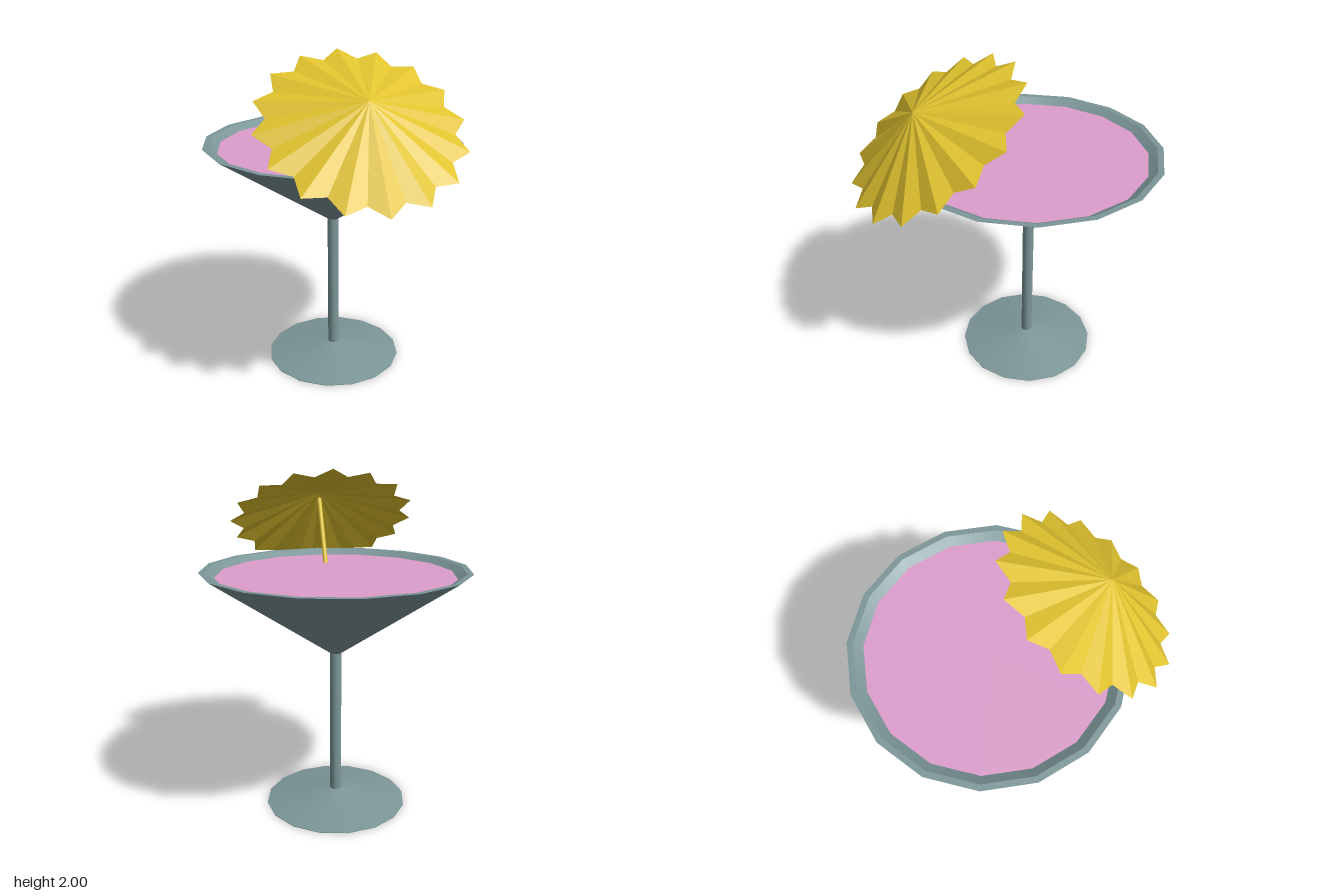
import * as THREE from 'three';
import { toCreasedNormals } from 'three/addons/utils/BufferGeometryUtils.js';

const SIDES = 16;

function part(name, geometry, material) {
  const mesh = new THREE.Mesh(geometry, material);
  mesh.name = name;
  return mesh;
}

// Lathe from [radius, height] pairs, smooth around and sharp at the edges
function turned(points) {
  const profile = points.map(([r, y]) => new THREE.Vector2(r, y));
  return toCreasedNormals(new THREE.LatheGeometry(profile, SIDES), 0.5);
}

// Pleated cone: the rim alternates between outer tips and inner valleys
function pleatedCanopy(tipRadius, valleyRadius, height, pleats) {
  const rim = (i) => {
    const a = (i * Math.PI) / pleats;
    const r = i % 2 ? valleyRadius : tipRadius;
    return [r * Math.sin(a), 0, r * Math.cos(a)];
  };
  const positions = [];
  for (let i = 0; i < pleats * 2; i++) {
    positions.push(0, height, 0, ...rim(i), ...rim(i + 1));
  }
  const geometry = new THREE.BufferGeometry();
  geometry.setAttribute('position', new THREE.Float32BufferAttribute(positions, 3));
  geometry.computeVertexNormals();
  return geometry;
}

export function createModel() {
  const model = new THREE.Group();
  model.name = 'cocktail';

  const glassMaterial = new THREE.MeshStandardMaterial({ color: 0x7c9698 });
  const drinkMaterial = new THREE.MeshStandardMaterial({ color: 0xdc9ccb });
  const canopyMaterial = new THREE.MeshStandardMaterial({
    color: 0xe0c22e, flatShading: true, side: THREE.DoubleSide,
  });
  const stickMaterial = new THREE.MeshStandardMaterial({ color: 0xe0c22e });

  // Glass with its drink, set back from the centre
  const glass = new THREE.Group();
  glass.name = 'glass';
  glass.position.z = -0.13;
  glass.add(part('foot', turned([[0, 0], [0.425, 0], [0.425, 0.003], [0.034, 0.073]]), glassMaterial));
  glass.add(part('stem', turned([[0.034, 0.07], [0.034, 0.95]]), glassMaterial));
  glass.add(part('bowl', turned([
    [0.034, 0.95], [0.775, 1.45], [0.74, 1.45], [0, 0.97],
  ]), glassMaterial));
  glass.add(part('drink', turned([[0.69, 1.418], [0, 1.418]]), drinkMaterial));
  model.add(glass);

  // Paper umbrella, leaning out over the front rim
  const umbrella = new THREE.Group();
  umbrella.name = 'umbrella';
  umbrella.position.set(0, 1.665, 0.432);
  umbrella.rotation.x = 0.62;
  umbrella.add(part('canopy', pleatedCanopy(0.577, 0.5, 0.192, 16), canopyMaterial));
  const stick = part('stick', new THREE.CylinderGeometry(0.014, 0.014, 0.57, 8), stickMaterial);
  stick.position.y = -0.135;
  umbrella.add(stick);
  model.add(umbrella);

  return model;
}
